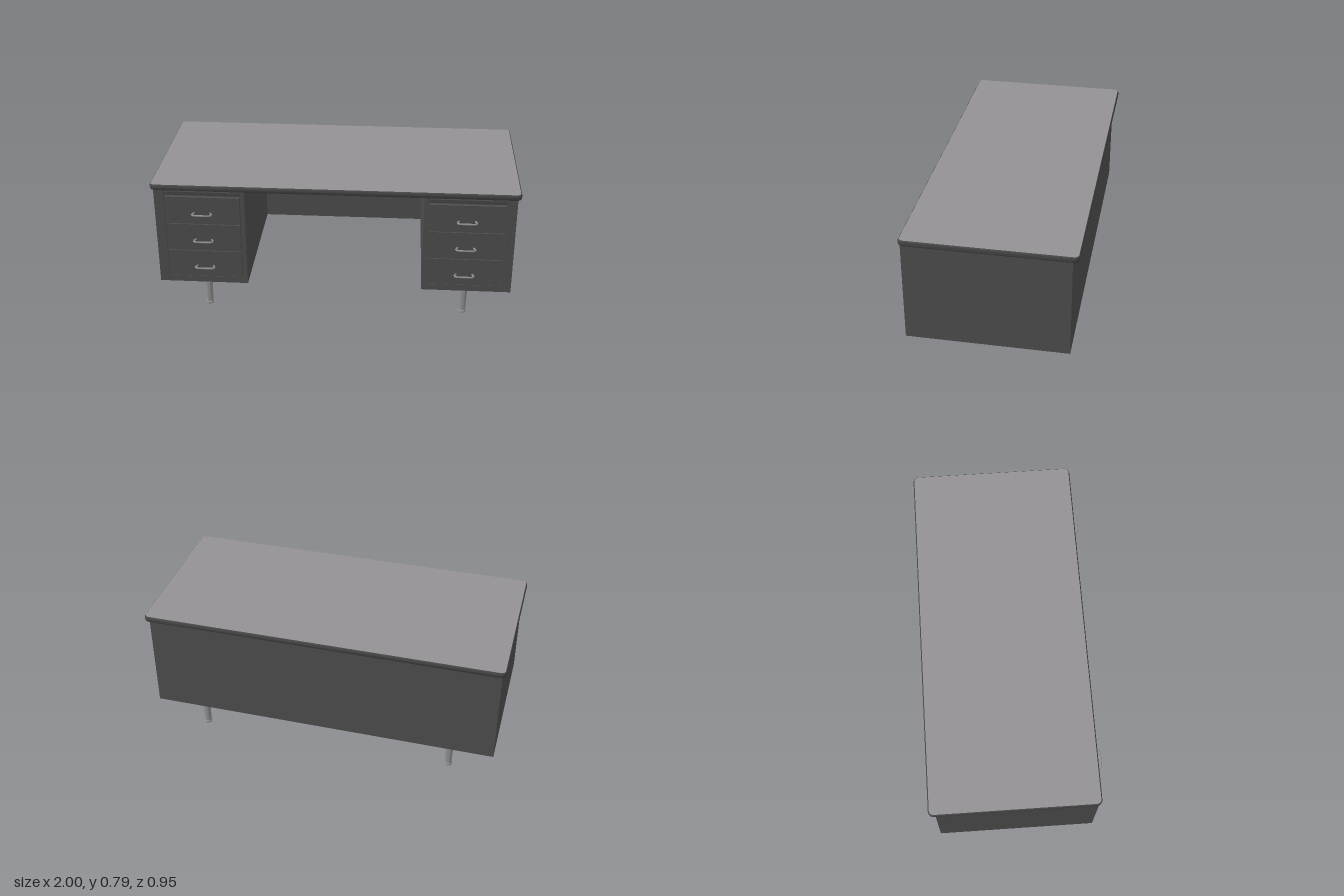
import * as THREE from 'three';
import { toCreasedNormals } from 'three/addons/utils/BufferGeometryUtils.js';

const mat = (name, color, side = THREE.FrontSide) => {
  const m = new THREE.MeshStandardMaterial({ color, side });
  m.name = name;
  return m;
};

export function createModel() {
  const desk = new THREE.Group();
  desk.name = 'desk';
  const steel = mat('dark grey steel', 0x4e4e4e);
  const edge = mat('charcoal edge', 0x464646);
  const laminate = mat('warm grey laminate', 0x949194);
  const metal = mat('brushed metal', 0x929292);

  const add = (parent, name, geometry, material) => {
    const mesh = new THREE.Mesh(geometry, material);
    mesh.name = name;
    parent.add(mesh);
    return mesh;
  };
  // Box given by its two extreme corners
  const box = (parent, name, material, x0, x1, y0, y1, z0, z1) => {
    const m = add(parent, name, new THREE.BoxGeometry(x1 - x0, y1 - y0, z1 - z0), material);
    m.position.set((x0 + x1) / 2, (y0 + y1) / 2, (z0 + z1) / 2);
    return m;
  };
  // Rounded rectangle for the desk top
  const roundedRect = (hw, hd, r) => {
    const s = new THREE.Shape();
    s.absarc(hw - r, hd - r, r, 0, Math.PI / 2);
    s.absarc(-hw + r, hd - r, r, Math.PI / 2, Math.PI);
    s.absarc(-hw + r, -hd + r, r, Math.PI, Math.PI * 1.5);
    s.absarc(hw - r, -hd + r, r, Math.PI * 1.5, Math.PI * 2);
    s.closePath();
    return s;
  };

  // Desk top: bevelled slab with a laminate face
  const bevel = 0.01;
  const slab = new THREE.ExtrudeGeometry(roundedRect(1 - bevel, 0.456 - bevel, 0.02), {
    depth: 0.033 - 2 * bevel, bevelSize: bevel, bevelThickness: bevel, bevelSegments: 4, curveSegments: 6,
  });
  slab.rotateX(-Math.PI / 2);
  add(desk, 'topSlab', toCreasedNormals(slab, 0.7), edge).position.set(0, 0.754 + bevel, -0.016);
  const face = new THREE.ShapeGeometry(roundedRect(0.994, 0.45, 0.024), 6).rotateX(-Math.PI / 2);
  add(desk, 'topSurface', face, laminate).position.set(0, 0.7875, -0.016);

  // Back panel closing the knee space
  box(desk, 'backPanel', steel, -0.49, 0.49, 0.187, 0.755, -0.438, -0.418);

  // Leg profile, from the foot up to the mounting plate
  const legProfile = [
    [0, 0], [0.019, 0], [0.022, 0.004], [0.022, 0.011], [0.018, 0.015],
    [0.018, 0.03], [0.024, 0.15], [0.024, 0.183],
  ].map(([r, y]) => new THREE.Vector2(r, y));
  const legGeometry = toCreasedNormals(new THREE.LatheGeometry(legProfile, 24), 0.6);

  // Bow handle
  const handlePath = new THREE.CatmullRomCurve3([
    [-0.044, 0], [-0.052, 0.016], [-0.05, 0.028], [-0.034, 0.034],
    [0.034, 0.034], [0.05, 0.028], [0.052, 0.016], [0.044, 0],
  ].map(([x, z]) => new THREE.Vector3(x, 0, z)), false, 'catmullrom', 0.4);
  const handleGeometry = new THREE.TubeGeometry(handlePath, 36, 0.005, 8);

  for (const side of [-1, 1]) {
    const pedestal = new THREE.Group();
    pedestal.name = side > 0 ? 'leftPedestal' : 'rightPedestal';
    pedestal.position.x = side * 0.7325;
    desk.add(pedestal);
    const cx = -side * 0.0145; // drawers sit slightly towards the knee space
    const x0 = cx - 0.205, x1 = cx + 0.205;

    // Cabinet with a raised frame around the drawer opening
    box(pedestal, 'cabinet', steel, -0.2475, 0.2475, 0.187, 0.755, -0.438, 0.415);
    box(pedestal, 'frameStile', steel, -0.2475, x0 - 0.004, 0.187, 0.755, 0.415, 0.43);
    box(pedestal, 'frameStile', steel, x1 + 0.004, 0.2475, 0.187, 0.755, 0.415, 0.43);
    box(pedestal, 'frameRail', steel, x0 - 0.004, x1 + 0.004, 0.187, 0.224, 0.415, 0.43);

    // Pull-out writing board above the drawers
    box(pedestal, 'writingBoard', edge, x0, x1, 0.73, 0.75, 0.415, 0.437);

    // Drawers and handles
    [[0.228, 0.387, 0.295], [0.391, 0.552, 0.46], [0.556, 0.717, 0.623]].forEach(([y0, y1, hy]) => {
      box(pedestal, 'drawerFront', steel, x0, x1, y0, y1, 0.415, 0.434);
      const handle = add(pedestal, 'drawerHandle', handleGeometry, metal);
      handle.position.set(cx, hy, 0.434);
    });

    // Tapered legs on mounting plates
    for (const z of [0.344, -0.35]) {
      add(pedestal, 'leg', legGeometry, metal).position.set(-side * 0.0075, 0, z);
      const lx = -side * 0.0075;
      box(pedestal, 'legPlate', edge, lx - 0.046, lx + 0.046, 0.182, 0.188, z - 0.046, z + 0.046);
    }
  }
  return desk;
}
